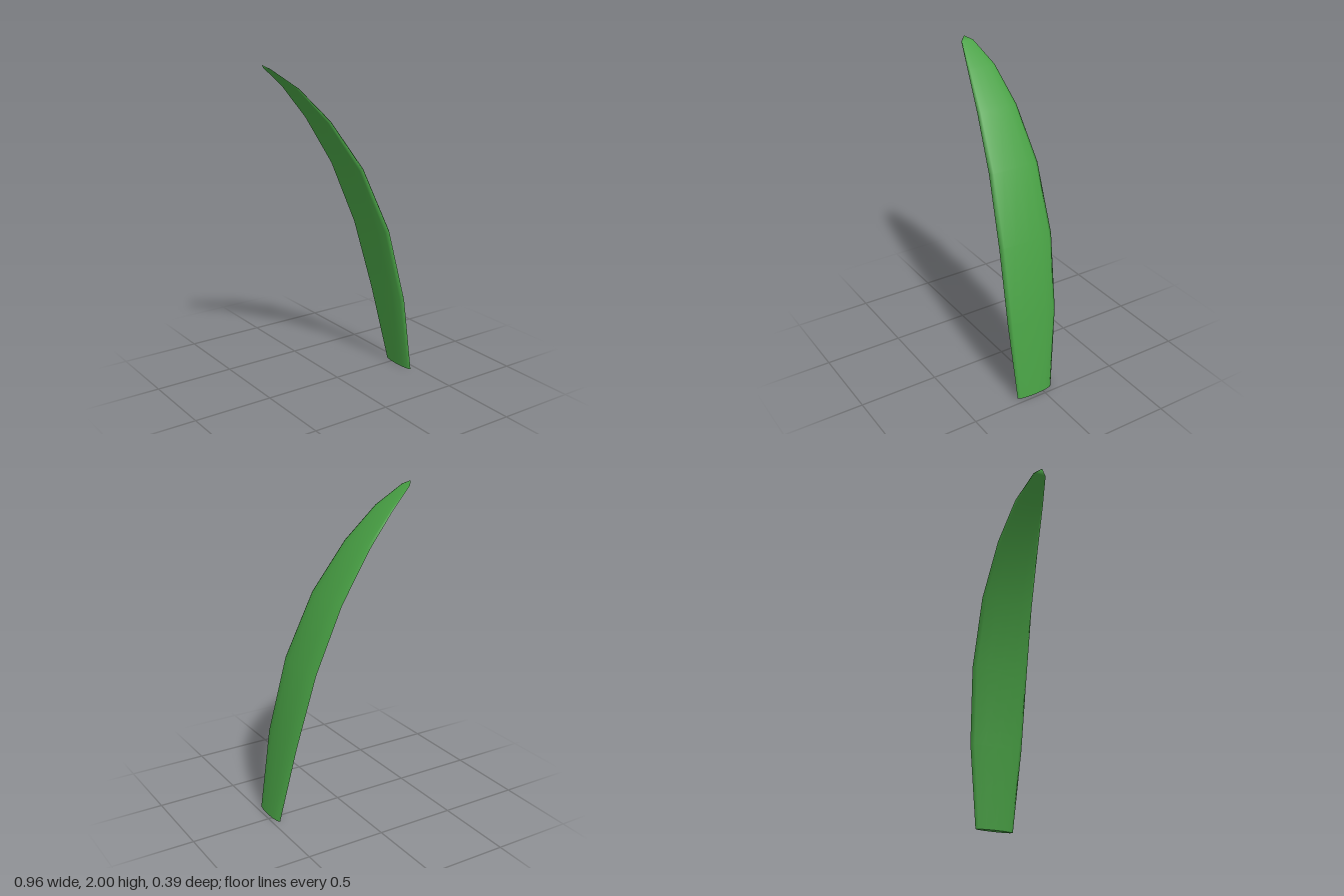
import * as THREE from 'three';

// Cross-sections from base upward: centre x, y, z, half width (z), half thickness (x), tilt (y)
const SECTIONS = [
  [0.457, 0.00, 0.052, 0.122, 0.0215, 0.000],
  [0.375, 0.50, 0.025, 0.170, 0.030, 0.007],
  [0.260, 0.96, -0.002, 0.183, 0.030, 0.009],
  [0.090, 1.36, -0.026, 0.168, 0.027, 0.009],
  [-0.110, 1.66, -0.040, 0.135, 0.021, 0.006],
  [-0.293, 1.86, -0.046, 0.093, 0.012, 0.003],
  [-0.447, 1.978, -0.044, 0.040, 0.003, 0.001],
];
const TIP = [-0.48, 2.0, -0.043];
const SIDES = 12;

function ringPoint([x, y, z, w, t, tilt], j) {
  const a = (j / SIDES) * Math.PI * 2;
  return [x + t * Math.sin(a), y + tilt * Math.sin(a), z + w * Math.cos(a)];
}

function makeGeometry(points, index) {
  const geometry = new THREE.BufferGeometry();
  geometry.setAttribute('position', new THREE.Float32BufferAttribute(points.flat(), 3));
  geometry.setIndex(index);
  geometry.computeVertexNormals();
  return geometry;
}

// Flattened oval rings skinned along the bend, closing to a point
function bladeGeometry() {
  const points = [];
  const index = [];
  for (const section of SECTIONS) {
    for (let j = 0; j < SIDES; j++) points.push(ringPoint(section, j));
  }
  points.push(TIP);
  const last = SECTIONS.length - 1;
  for (let i = 0; i <= last; i++) {
    for (let j = 0; j < SIDES; j++) {
      const a = i * SIDES + j;
      const b = i * SIDES + ((j + 1) % SIDES);
      if (i === last) index.push(a, b, points.length - 1);
      else index.push(a, b, b + SIDES, a, b + SIDES, a + SIDES);
    }
  }
  return makeGeometry(points, index);
}

// Flat oval closing the foot of the blade, facing down
function capGeometry() {
  const points = [];
  const index = [];
  for (let j = 0; j < SIDES; j++) {
    points.push(ringPoint(SECTIONS[0], j));
    if (j > 1) index.push(0, j, j - 1);
  }
  return makeGeometry(points, index);
}

export function createModel() {
  const group = new THREE.Group();
  group.name = 'grassBlade';
  const green = new THREE.MeshStandardMaterial({ color: 0x48a044 });

  const blade = new THREE.Mesh(bladeGeometry(), green);
  blade.name = 'blade';
  const cap = new THREE.Mesh(capGeometry(), green);
  cap.name = 'baseCap';
  group.add(blade, cap);
  return group;
}
